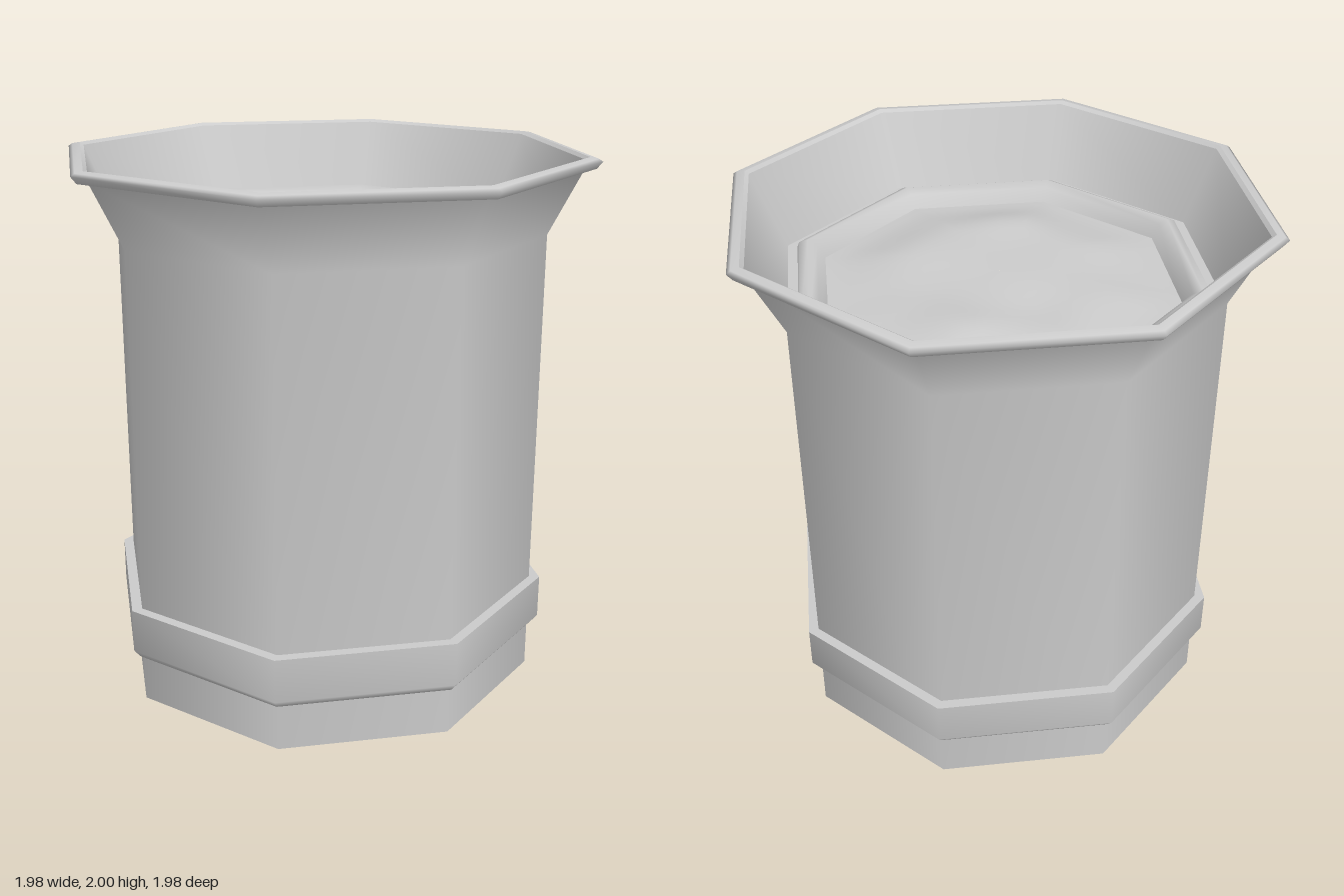
import * as THREE from 'three';
import { mergeVertices } from 'three/addons/utils/BufferGeometryUtils.js';

const SIDES = 8;
const material = new THREE.MeshStandardMaterial({ color: 0xcccccc });

// Eight-sided turned surface, smooth within one profile
function turned(name, profile) {
  const points = profile.map(([r, y]) => new THREE.Vector2(r, y));
  const mesh = new THREE.Mesh(new THREE.LatheGeometry(points, SIDES), material);
  mesh.name = name;
  return mesh;
}

// Uneven filling: an octagonal disc raised into a low, lumpy mound
function filling() {
  let geo = new THREE.RingGeometry(0.001, 0.67, 48, 14);
  geo.rotateX(-Math.PI / 2);
  geo.deleteAttribute('normal');
  geo.deleteAttribute('uv');
  geo = mergeVertices(geo, 1e-5);
  const lumps = [ // x, z, height, radius
    [0.05, -0.48, 0.03, 0.16], [-0.22, -0.22, -0.02, 0.16], [0.1, 0.4, 0.02, 0.14],
    [0.3, 0.1, 0.015, 0.2], [-0.4, 0.1, -0.015, 0.18], [0.35, -0.3, -0.015, 0.16],
  ];
  const pos = geo.attributes.position;
  const step = (2 * Math.PI) / SIDES;
  for (let i = 0; i < pos.count; i++) {
    let x = pos.getX(i), z = pos.getZ(i);
    const angle = Math.atan2(z, x) + 2 * Math.PI;
    const fit = Math.cos(step / 2) / Math.cos((angle % step) - step / 2);
    const edge = Math.hypot(x, z) / 0.67;
    x *= fit;
    z *= fit;
    let y = 1.69 + 0.04 * (1 - THREE.MathUtils.smoothstep(edge, 0.5, 1));
    for (const [lx, lz, h, r] of lumps) {
      y += h * Math.exp(-((x - lx) ** 2 + (z - lz) ** 2) / (r * r)) * (1 - edge ** 4);
    }
    pos.setXYZ(i, x, y, z);
  }
  geo.computeVertexNormals();
  const mesh = new THREE.Mesh(geo, material);
  mesh.name = 'filling';
  return mesh;
}

export function createModel() {
  const model = new THREE.Group();
  model.name = 'octagonalPot';
  model.add(
    // Closed base and outer wall with flared mouth
    turned('base', [[0, 0], [0.81, 0]]),
    turned('wall', [[0.81, 0], [0.81, 1.72], [0.93, 1.96]]),
    // Raised band near the foot
    turned('band', [[0.81, 0.175], [0.825, 0.18], [0.85, 0.21], [0.85, 0.375]]),
    turned('bandTop', [[0.85, 0.375], [0.81, 0.375]]),
    // Rim
    turned('rimUnderside', [[0.925, 1.96], [0.97, 1.96]]),
    turned('rim', [[0.97, 1.96], [0.99, 1.985], [0.975, 1.995], [0.945, 2]]),
    turned('rimTop', [[0.945, 2], [0.93, 1.99]]),
    // Inside of the mouth
    turned('innerFlare', [[0.93, 1.99], [0.805, 1.72]]),
    turned('ledge', [[0.805, 1.72], [0.76, 1.72]]),
    turned('innerLip', [[0.77, 1.715], [0.76, 1.74], [0.725, 1.755], [0.69, 1.74], [0.655, 1.68]]),
    filling(),
  );
  return model;
}
